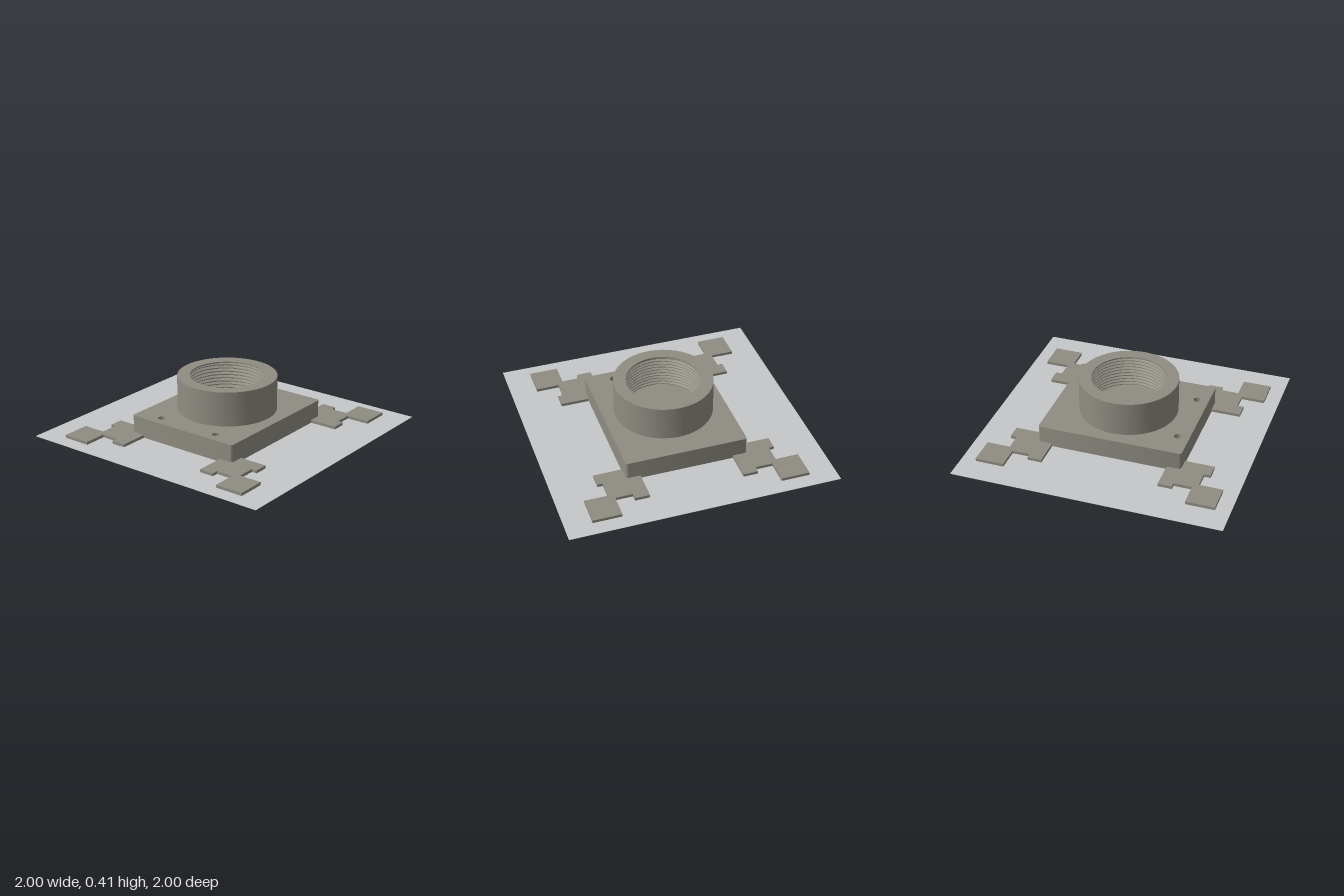
import * as THREE from 'three';
import { toCreasedNormals } from 'three/addons/utils/BufferGeometryUtils.js';

const BASE = 0.003, PAD_TOP = 0.025, BLOCK_TOP = 0.155, TOP = 0.415;
const OUTER = 0.368, BORE = 0.275;

export function createModel() {
  const group = new THREE.Group();
  const body = new THREE.MeshStandardMaterial({ color: 0x8f8d82 });
  body.name = 'warm grey';
  const sheet = new THREE.MeshStandardMaterial({ color: 0xc6c7c9 });
  sheet.name = 'pale grey';

  const add = (name, geometry, material) => {
    const mesh = new THREE.Mesh(geometry, material);
    mesh.name = name;
    group.add(mesh);
    return mesh;
  };

  // Extrude a plan outline (x, -z) upward from y0 to y1
  const slab = (shape, y0, y1) => {
    const g = new THREE.ExtrudeGeometry(shape, { depth: y1 - y0, bevelEnabled: false, curveSegments: 16 });
    g.rotateX(-Math.PI / 2).translate(0, y0, 0);
    return toCreasedNormals(g, 0.6);
  };

  // Thin base sheet
  add('baseSheet', new THREE.BoxGeometry(2, BASE, 2).translate(0, BASE / 2, 0), sheet);

  // Rounded rectangular block with two through holes near the front
  const w = 0.457, d = 0.542, r = 0.02;
  const plan = new THREE.Shape();
  plan.moveTo(-w + r, -d);
  plan.lineTo(w - r, -d).absarc(w - r, -d + r, r, -Math.PI / 2, 0, false);
  plan.lineTo(w, d - r).absarc(w - r, d - r, r, 0, Math.PI / 2, false);
  plan.lineTo(-w + r, d).absarc(-w + r, d - r, r, Math.PI / 2, Math.PI, false);
  plan.lineTo(-w, -d + r).absarc(-w + r, -d + r, r, Math.PI, Math.PI * 1.5, false);
  for (const x of [-0.25, 0.25]) {
    plan.holes.push(new THREE.Path().absarc(x, -0.455, 0.028, 0, Math.PI * 2, true));
  }
  add('block', slab(plan, BASE, BLOCK_TOP), body);

  // Stepped corner pads, mirrored to all four corners
  const outline = [
    [0.35, 0.5], [0.35, 0.762], [0.46, 0.762], [0.46, 0.715], [0.59, 0.715], [0.59, 0.89], [0.803, 0.89],
    [0.803, 0.676], [0.63, 0.676], [0.63, 0.542], [0.67, 0.542], [0.67, 0.437], [0.42, 0.437], [0.42, 0.5],
  ];
  for (const sx of [-1, 1]) {
    for (const sz of [-1, 1]) {
      const shape = new THREE.Shape(outline.map(([x, z]) => new THREE.Vector2(sx * x, -sz * z)));
      const name = (sz > 0 ? 'front' : 'back') + (sx > 0 ? 'Left' : 'Right') + 'Pad';
      add(name, slab(shape, BASE, PAD_TOP), body);
    }
  }

  // Round collar: outer wall, rim and plain lip of the bore
  const lip = TOP - 0.01;
  const wall = [[OUTER, BLOCK_TOP], [OUTER, TOP], [BORE, TOP], [BORE, lip]];
  const collar = new THREE.LatheGeometry(wall.map(p => new THREE.Vector2(...p)), 64);
  add('collar', toCreasedNormals(collar, 0.6), body);

  // Helical thread: a zigzag profile raised by one pitch per turn, clipped to the bore
  const pitch = 0.026, turns = 11, profile = [];
  for (let i = 0; i <= turns; i++) {
    const y = lip - i * pitch;
    profile.push(new THREE.Vector2(BORE, y), new THREE.Vector2(BORE, y - pitch * 0.25));
    profile.push(new THREE.Vector2(BORE + 0.02, y - pitch * 0.6));
  }
  const thread = new THREE.LatheGeometry(profile, 64);
  const pos = thread.attributes.position, uv = thread.attributes.uv;
  for (let i = 0; i < pos.count; i++) {
    const y = pos.getY(i) + pitch * uv.getX(i);
    pos.setY(i, THREE.MathUtils.clamp(y, BLOCK_TOP, lip));
  }
  add('boreThread', toCreasedNormals(thread, 0.5), body);

  return group;
}
